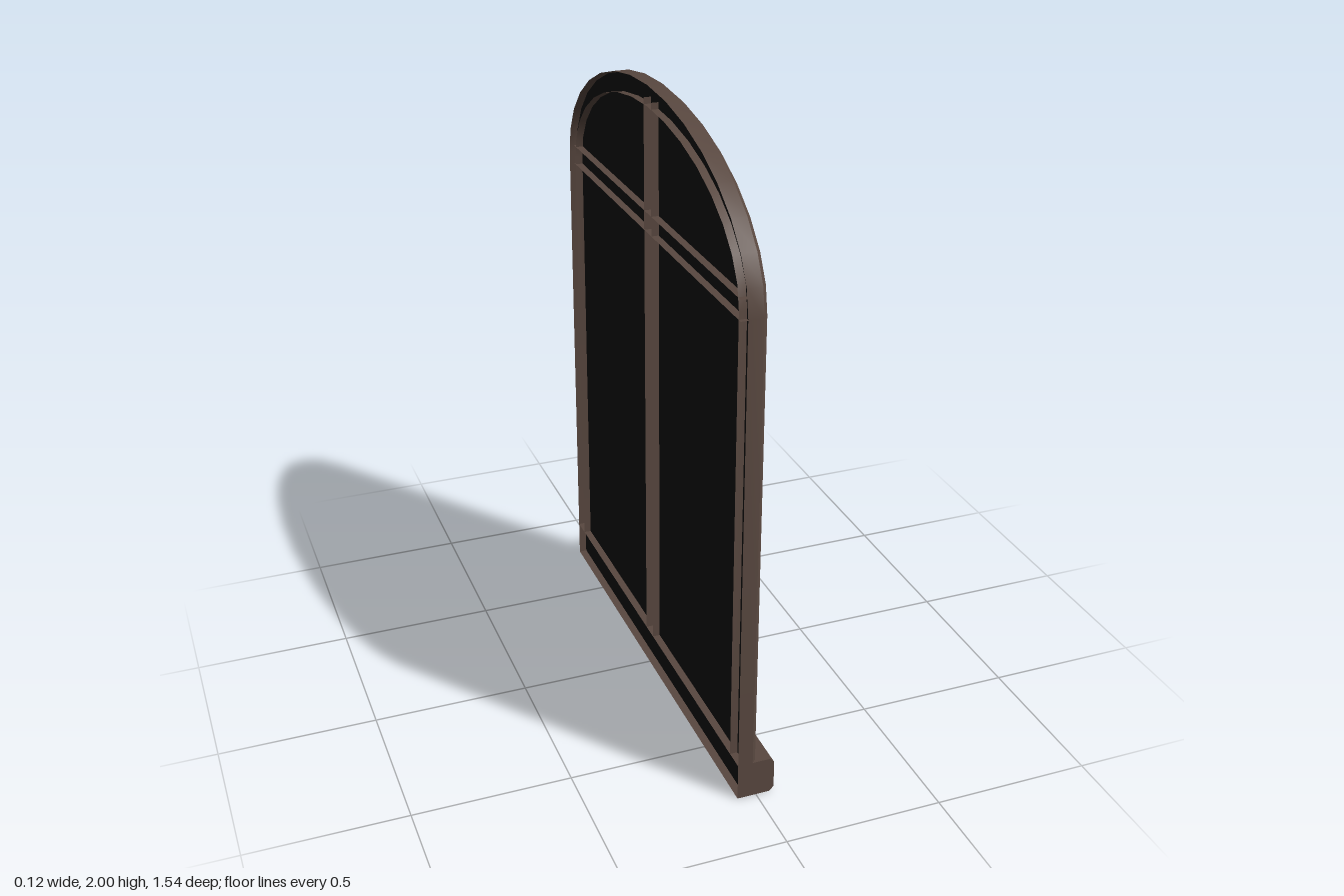
import * as THREE from 'three';
import { toCreasedNormals } from 'three/addons/utils/BufferGeometryUtils.js';

const HALF = 0.77, SPRING = 1.57, RISE = 0.43, BACK = -0.06, SILL_TOP = 0.12;

// Surface through a list of open cross-sections, each a list of [x, y, z]
function loft(rings) {
  const cols = rings[0].length, index = [];
  for (let i = 0; i < rings.length - 1; i++) {
    for (let j = 0; j < cols - 1; j++) {
      const a = i * cols + j, b = a + cols;
      index.push(a, a + 1, b, a + 1, b + 1, b);
    }
  }
  const geo = new THREE.BufferGeometry();
  geo.setAttribute('position', new THREE.Float32BufferAttribute(rings.flat(2), 3));
  geo.setIndex(index);
  return toCreasedNormals(geo, 0.5);
}

// Chamfered channel, open at the back: [offset across, x]
function channel(width, front, chamfer) {
  return [[0, BACK], [0, front - chamfer], [chamfer, front],
    [width - chamfer, front], [width, front - chamfer], [width, BACK]];
}

// Arched outline as [z, y], moved inwards by inset
function outline(inset, bottom, segments = 16) {
  const a = HALF - inset, b = RISE - inset, pts = [[a, bottom]];
  for (let i = 0; i <= segments; i++) {
    const t = (i / segments) * Math.PI;
    pts.push([a * Math.cos(t), SPRING + b * Math.sin(t)]);
  }
  pts.push([-a, bottom]);
  return pts;
}

export function createModel() {
  const group = new THREE.Group();
  const wood = new THREE.MeshStandardMaterial({ color: 0x594840, side: THREE.DoubleSide });
  wood.name = 'dark brown wood';
  const pane = new THREE.MeshStandardMaterial({ color: 0x0f0f0f, side: THREE.DoubleSide });
  pane.name = 'black glass';

  function add(name, geometry, material = wood) {
    const mesh = new THREE.Mesh(geometry, material);
    mesh.name = name;
    group.add(mesh);
  }

  // Arched frame: the channel swept up one side, over and down the other
  const lines = channel(0.064, 0, 0.013).map(([inset, x]) =>
    outline(inset, SILL_TOP).map(([z, y]) => [x, y, z]));
  add('archedFrame', loft(lines[0].map((_, i) => lines.map((line) => line[i]))));

  // Upright and cross bars
  const bar = channel(0.062, -0.003, 0.005);
  add('mullion', loft([SILL_TOP, 1.955].map((y) => bar.map(([w, x]) => [x, y, 0.031 - w]))));
  add('transom', loft([0.72, -0.72].map((z) => bar.map(([w, x]) => [x, 1.607 - w, z]))));

  // Sill with chamfered nose, open at the back
  const sill = [[BACK, SILL_TOP], [0.045, SILL_TOP], [0.058, 0.105],
    [0.058, 0.015], [0.045, 0], [BACK, 0]];
  add('sill', loft([HALF, -HALF].map((z) => sill.map(([x, y]) => [x, y, z]))));
  const endShape = new THREE.Shape(sill.map(([x, y]) => new THREE.Vector2(x, y)));
  for (const side of [1, -1]) {
    const end = new THREE.ShapeGeometry(endShape);
    if (side < 0) end.translate(0, 0, -HALF);
    else end.translate(0, 0, HALF);
    add(side > 0 ? 'sillEndLeft' : 'sillEndRight', end);
  }

  // One sheet of glass running behind all the bars
  const sheet = new THREE.Shape(outline(0.004, 0.004).map(([z, y]) => new THREE.Vector2(z, y)));
  const glass = new THREE.ShapeGeometry(sheet);
  glass.rotateY(Math.PI / 2);
  glass.translate(-0.036, 0, 0);
  add('glass', glass, pane);

  return group;
}
